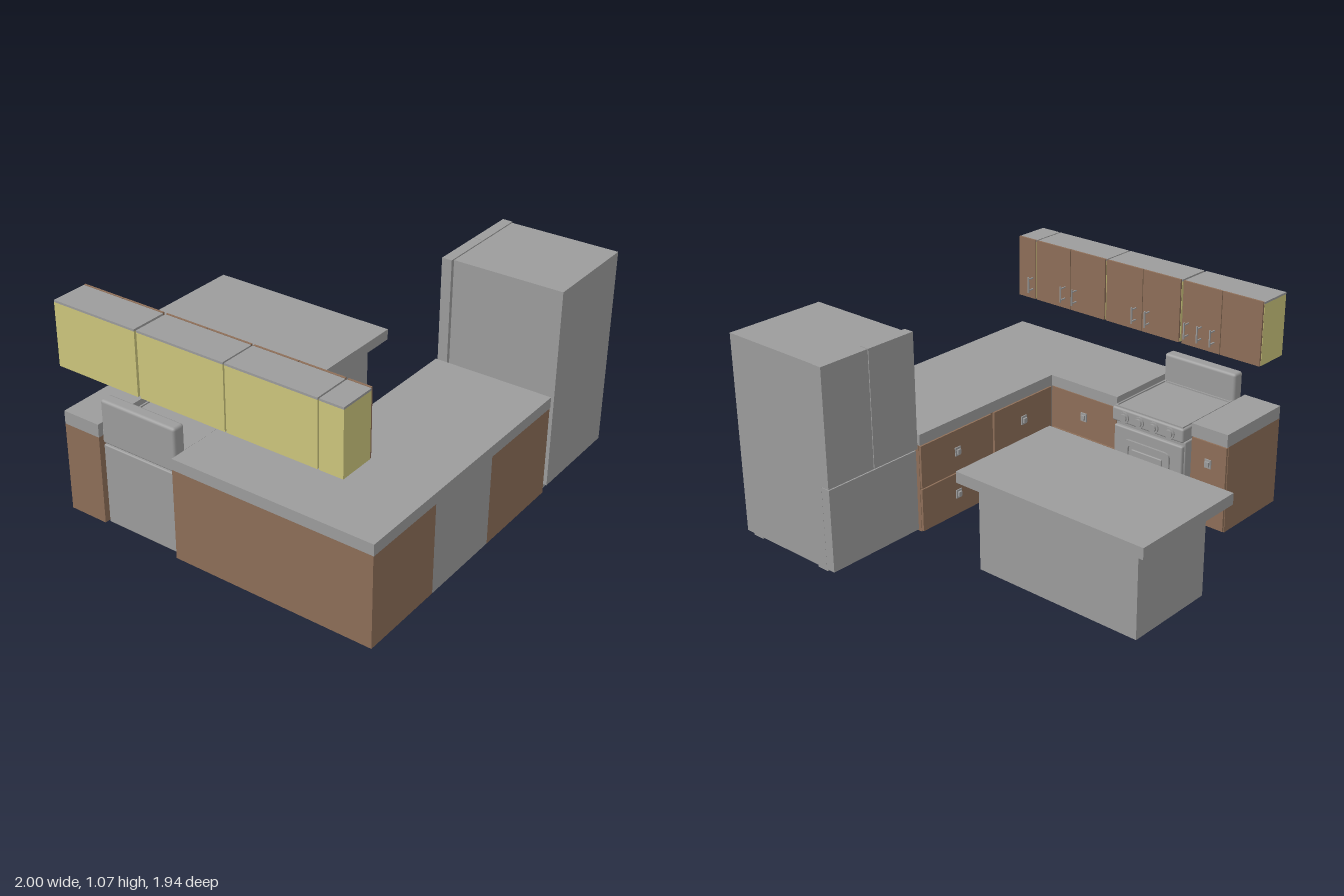
import * as THREE from 'three';
import { RoundedBoxGeometry } from 'three/addons/geometries/RoundedBoxGeometry.js';

const mat = (name, color) => {
  const m = new THREE.MeshStandardMaterial({ color });
  m.name = name;
  return m;
};

export function createModel() {
  const root = new THREE.Group();
  root.name = 'kitchen';
  const grey = mat('grey', 0x9c9c9c);
  const brown = mat('woodBrown', 0x8d6e58);
  const yellow = mat('paleYellow', 0xcdc67c);

  const group = (name) => {
    const g = new THREE.Group();
    g.name = name;
    root.add(g);
    return g;
  };
  // Box given by its limits on each axis; r rounds the edges
  const box = (parent, name, m, [x0, x1], [y0, y1], [z0, z1], r = 0) => {
    const s = [x1 - x0, y1 - y0, z1 - z0];
    const geo = r ? new RoundedBoxGeometry(...s, 2, r) : new THREE.BoxGeometry(...s);
    const mesh = new THREE.Mesh(geo, m);
    mesh.position.set((x0 + x1) / 2, (y0 + y1) / 2, (z0 + z1) / 2);
    mesh.name = name;
    parent.add(mesh);
    return mesh;
  };

  // Two stacked drawers with square pulls, built facing -z then turned by the caller
  const drawers = (parent, width, y0, y1) => {
    const g = new THREE.Group();
    g.name = 'drawers';
    const mid = (y0 + y1) / 2, w = width / 2;
    for (const [a, b] of [[y0, mid - 0.003], [mid + 0.003, y1]]) {
      const c = (a + b) / 2;
      box(g, 'drawerFront', brown, [-w, w], [a, b], [-0.012, 0]);
      box(g, 'pullPlate', grey, [-0.018, 0.018], [c - 0.022, c + 0.022], [-0.018, -0.012]);
      box(g, 'pullGrip', grey, [-0.011, 0.011], [c - 0.012, c + 0.012], [-0.028, -0.018]);
    }
    parent.add(g);
    return g;
  };

  // Island table
  const island = group('island');
  box(island, 'islandTop', grey, [-1, 0.03], [0.445, 0.5], [-0.555, 0.07]);
  box(island, 'islandBase', grey, [-0.92, -0.035], [0, 0.445], [-0.48, -0.01]);

  // Small base cabinet beside the stove
  const small = group('smallCabinet');
  box(small, 'cabinetBody', brown, [-0.667, -0.465], [0, 0.445], [0.52, 0.942]);
  box(small, 'counterTop', grey, [-0.667, -0.465], [0.445, 0.51], [0.508, 0.942]);
  drawers(small, 0.196, 0.006, 0.44).position.set(-0.566, 0, 0.52);

  // L-shaped run of base cabinets
  const run = group('cornerCabinets');
  box(run, 'cornerBody', brown, [-0.025, 0.993], [0.01, 0.46], [0.52, 0.965]);
  box(run, 'middleBody', grey, [0.4, 0.993], [0.01, 0.46], [0.08, 0.52]);
  box(run, 'endBody', brown, [0.4, 0.993], [0.01, 0.46], [-0.418, 0.08]);
  const top = new THREE.Shape([
    [-0.025, -0.965], [0.995, -0.965], [0.995, 0.42], [0.39, 0.42], [0.39, -0.505], [-0.025, -0.505],
  ].map(([x, y]) => new THREE.Vector2(x, y)));
  const topMesh = new THREE.Mesh(
    new THREE.ExtrudeGeometry(top, { depth: 0.055, bevelEnabled: false }).rotateX(-Math.PI / 2), grey);
  topMesh.position.y = 0.46;
  topMesh.name = 'counterTop';
  run.add(topMesh);
  drawers(run, 0.405, 0.015, 0.455).position.set(0.182, 0, 0.52);
  for (const [z, w] of [[-0.178, 0.476], [0.29, 0.42]]) {
    const d = drawers(run, w, 0.015, 0.455);
    d.position.set(0.4, 0, z);
    d.rotation.y = Math.PI / 2;
  }

  // Stove
  const stove = group('stove');
  box(stove, 'ovenBody', grey, [-0.45, -0.04], [0.005, 0.412], [0.485, 0.93], 0.006);
  box(stove, 'ovenDoor', grey, [-0.447, -0.043], [0.02, 0.395], [0.463, 0.487], 0.008);
  box(stove, 'cooktop', grey, [-0.455, -0.035], [0.418, 0.49], [0.455, 0.93], 0.01);
  box(stove, 'backGuard', grey, [-0.455, -0.035], [0.44, 0.635], [0.865, 0.93], 0.014);
  for (const x of [-0.445, -0.053]) box(stove, 'sideRim', grey, [x, x + 0.008], [0.485, 0.497], [0.465, 0.865]);
  for (const z of [0.465, 0.85]) box(stove, 'crossRim', grey, [-0.437, -0.053], [0.485, 0.497], [z, z + 0.008]);
  // Raised window surround and pane on the oven door
  const frame = new THREE.Shape();
  const rounded = (p, w, h, r) => {
    p.moveTo(-w + r, -h).lineTo(w - r, -h).quadraticCurveTo(w, -h, w, -h + r);
    p.lineTo(w, h - r).quadraticCurveTo(w, h, w - r, h);
    p.lineTo(-w + r, h).quadraticCurveTo(-w, h, -w, h - r);
    p.lineTo(-w, -h + r).quadraticCurveTo(-w, -h, -w + r, -h);
    return p;
  };
  rounded(frame, 0.135, 0.125, 0.03);
  frame.holes.push(rounded(new THREE.Path(), 0.11, 0.1, 0.025));
  const surround = new THREE.Mesh(
    new THREE.ExtrudeGeometry(frame, { depth: 0.012, bevelEnabled: false, curveSegments: 5 }), grey);
  surround.position.set(-0.245, 0.215, 0.452);
  surround.name = 'windowSurround';
  stove.add(surround);
  box(stove, 'ovenWindow', grey, [-0.335, -0.155], [0.135, 0.295], [0.455, 0.466], 0.004);
  for (const x of [-0.38, -0.285, -0.2, -0.11]) {
    for (const [name, r, d, z] of [['knobBase', 0.028, 0.008, 0.451], ['knob', 0.02, 0.012, 0.443]]) {
      const k = new THREE.Mesh(new THREE.CylinderGeometry(r, r, d, 20).rotateX(Math.PI / 2), grey);
      k.position.set(x, 0.452, z);
      k.name = name;
      stove.add(k);
    }
  }

  // Wall cabinets: [left edge, right edge, number of doors]
  const wall = group('wallCabinets');
  for (const [x0, x1, n] of [[-0.64, -0.19, 2], [-0.177, 0.273, 2], [0.281, 0.729, 2], [0.737, 0.85, 1]]) {
    box(wall, 'wallCabinetBody', yellow, [x0, x1], [0.755, 1.06], [0.79, 0.968]);
    box(wall, 'wallCabinetTop', grey, [x0, x1], [1.06, 1.07], [0.79, 0.968]);
    const w = (x1 - x0) / n;
    for (let i = 0; i < n; i++) {
      box(wall, 'wallDoor', brown, [x0 + i * w + 0.002, x0 + (i + 1) * w - 0.002], [0.755, 1.072], [0.78, 0.79]);
    }
  }
  // Bar handles on two posts
  for (const x of [-0.38, -0.305, -0.23, 0.005, 0.085, 0.465, 0.54, 0.755]) {
    box(wall, 'handleBar', grey, [x - 0.003, x + 0.003], [0.795, 0.88], [0.74, 0.747]);
    for (const y of [0.804, 0.864]) box(wall, 'handlePost', grey, [x - 0.003, x + 0.003], [y, y + 0.006], [0.747, 0.78]);
  }

  // Refrigerator: two upper doors over one lower door, facing -x
  const fridge = group('refrigerator');
  box(fridge, 'fridgeBody', grey, [0.444, 0.995], [0.033, 1.022], [-0.968, -0.45]);
  for (const [z0, z1] of [[-0.975, -0.707], [-0.703, -0.435]]) {
    box(fridge, 'upperDoor', grey, [0.39, 0.441], [0.45, 1.025], [z0, z1]);
  }
  box(fridge, 'lowerDoor', grey, [0.393, 0.441], [0.035, 0.443], [-0.97, -0.443]);
  box(fridge, 'doorSeal', grey, [0.441, 0.444], [0.04, 1.015], [-0.96, -0.455]);
  for (const x of [0.46, 0.91]) for (const z of [-0.95, -0.515]) {
    box(fridge, 'foot', grey, [x, x + 0.065], [0.008, 0.033], [z, z + 0.065]);
  }
  return root;
}
